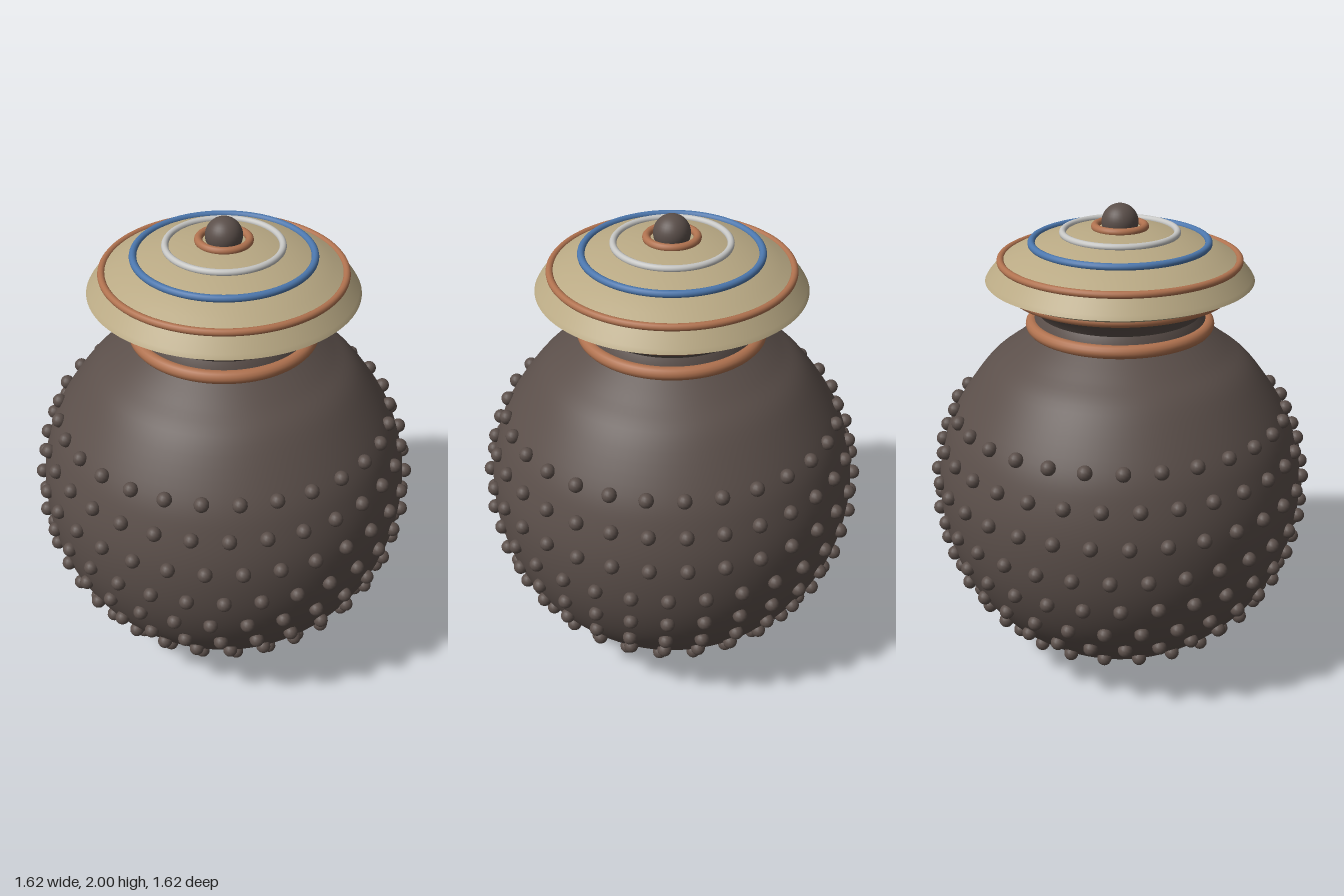
import * as THREE from 'three';

const paint = (name, color) => {
  const m = new THREE.MeshStandardMaterial({ color });
  m.name = name;
  return m;
};

export function createModel() {
  const root = new THREE.Group();
  root.name = 'studdedJar';
  const clay = paint('dark clay', 0x5b4f4a);
  const cream = paint('cream glaze', 0xb9a984);
  const copper = paint('terracotta', 0xb0724f);
  const blue = paint('blue glaze', 0x4c77ad);
  const white = paint('white glaze', 0xc6c6c4);

  const add = (parent, name, geometry, material) => {
    const mesh = new THREE.Mesh(geometry, material);
    mesh.name = name;
    parent.add(mesh);
    return mesh;
  };
  const vec = (pts) => pts.map(([r, y]) => new THREE.Vector2(r, y));
  // Profiles run from bottom to top as [radius, height]
  const lathe = (parent, name, pts, material) =>
    add(parent, name, new THREE.LatheGeometry(vec(pts), 96), material);
  const ring = (parent, name, outer, tube, y, material) => {
    const g = new THREE.TorusGeometry(outer - tube, tube, 14, 96).rotateX(Math.PI / 2);
    add(parent, name, g, material).position.y = y;
  };

  // Foot
  add(root, 'foot', new THREE.CylinderGeometry(0.23, 0.23, 0.035, 96), clay).position.y = 0.0175;

  // Round belly and shoulder
  const belly = new THREE.SplineCurve(vec([
    [0.225, 0.03], [0.38, 0.1], [0.52, 0.207], [0.62, 0.318], [0.695, 0.44],
    [0.747, 0.578], [0.772, 0.72], [0.772, 0.87], [0.742, 1.012], [0.686, 1.146],
    [0.56, 1.325], [0.45, 1.415], [0.355, 1.485],
  ]));
  add(root, 'belly', new THREE.LatheGeometry(belly.getPoints(60), 96), clay);

  // Waisted neck
  lathe(root, 'lowerNeck', [[0.355, 1.485], [0.36, 1.515], [0.335, 1.56]], clay);
  lathe(root, 'upperNeck', [[0.335, 1.56], [0.36, 1.6], [0.41, 1.645], [0.43, 1.68]], clay);
  ring(root, 'neckRing', 0.388, 0.027, 1.507, copper);
  ring(root, 'rimRing', 0.46, 0.021, 1.657, copper);

  // Rows of studs: height, distance from axis, count, shift in steps from the front
  const studs = new THREE.Group();
  studs.name = 'studs';
  root.add(studs);
  const studGeometry = new THREE.SphereGeometry(0.03, 14, 10);
  const rows = [
    [0.207, 0.53, 23, -0.25], [0.318, 0.63, 28, 0], [0.44, 0.705, 30, 0.5],
    [0.578, 0.755, 32, 0], [0.72, 0.78, 33, 0.25], [0.87, 0.78, 33, -0.25],
    [1.012, 0.75, 32, 0.5], [1.146, 0.695, 30, 0],
  ];
  for (const [y, r, count, shift] of rows) {
    for (let i = 0; i < count; i++) {
      const a = ((i + shift) / count) * Math.PI * 2;
      add(studs, 'stud', studGeometry, clay).position.set(Math.sin(a) * r, y, Math.cos(a) * r);
    }
  }

  // Lid
  const lid = new THREE.Group();
  lid.name = 'lid';
  root.add(lid);
  lathe(lid, 'lidUnderside', [[0, 1.674], [0.49, 1.674]], cream);
  lathe(lid, 'lidLip', [[0.49, 1.674], [0.545, 1.698]], cream);
  lathe(lid, 'lidSlope', [[0.545, 1.698], [0.535, 1.715], [0.485, 1.775]], cream);
  lathe(lid, 'lidDome', [
    [0.485, 1.775], [0.43, 1.805], [0.355, 1.842], [0.235, 1.88], [0.11, 1.902], [0, 1.905],
  ], cream);

  // Painted bands and knob
  ring(lid, 'outerBand', 0.497, 0.015, 1.777, copper);
  ring(lid, 'blueBand', 0.371, 0.015, 1.845, blue);
  ring(lid, 'whiteBand', 0.244, 0.014, 1.885, white);
  ring(lid, 'knobBand', 0.116, 0.016, 1.908, copper);
  add(lid, 'knob', new THREE.SphereGeometry(0.074, 32, 20), clay).position.y = 1.926;

  return root;
}
